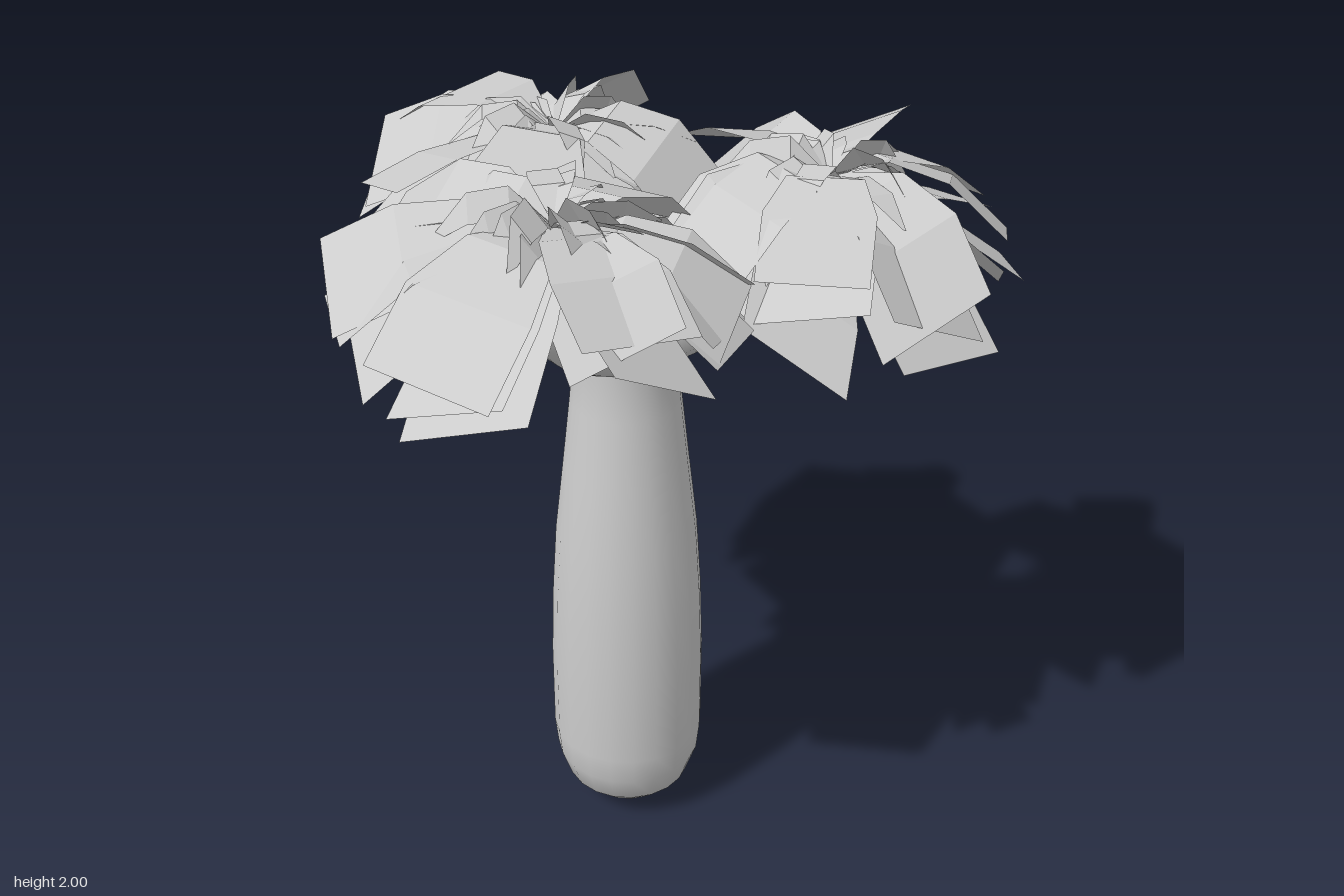
import * as THREE from 'three';

const grey = new THREE.MeshStandardMaterial({ color: 0xcccccc });
grey.name = 'plain grey';
const leafGrey = new THREE.MeshStandardMaterial({ color: 0xcccccc, side: THREE.DoubleSide, flatShading: true });
leafGrey.name = 'leaf grey';

// Small seeded generator, returns -1..1
let seed = 11;
function jitter() {
  seed = (seed * 16807) % 2147483647;
  return (seed / 2147483647) * 2 - 1;
}

const TRUNK_X = -0.05, TRUNK_Z = 0.04;

// Leaf hub of each crown, the branch tip below it,
// and its fronds as [degrees from +x towards +z, length, droop]
const crowns = [
  { name: 'left', hub: [0.39, 1.82, 0.22], tip: [0.38, 1.74, 0.21],
    fronds: [[-49, 0.46, 0.07], [-6, 0.36, 0.1], [30, 0.43, 0.15], [80, 0.41, 0.18], [122, 0.41, 0.13], [167, 0.42, 0.1], [-102, 0.45, 0.08]] },
  { name: 'right', hub: [-0.33, 1.86, 0.32], tip: [-0.38, 1.71, 0.27],
    fronds: [[-133, 0.47, 0.1], [-173, 0.47, 0.12], [141, 0.45, 0.14], [83, 0.42, 0.1], [45, 0.4, 0.16], [7, 0.39, 0.16], [-40, 0.4, 0.14], [-88, 0.42, 0.12]] },
  { name: 'back', hub: [-0.11, 1.83, -0.27], tip: [-0.11, 1.71, -0.31],
    fronds: [[-49, 0.46, 0.13], [-115, 0.46, 0.12], [-147, 0.46, 0.1], [169, 0.47, 0.1], [125, 0.42, 0.14], [85, 0.42, 0.14], [45, 0.4, 0.13], [0, 0.34, 0.1]] },
];

// Round-bottomed trunk that narrows to a neck and swells into the fork
function buildTrunk() {
  const profile = [
    [0, 0], [0.06, 0.008], [0.12, 0.04], [0.17, 0.09], [0.197, 0.17], [0.205, 0.25],
    [0.205, 0.5], [0.198, 0.7], [0.185, 0.9], [0.162, 1.1], [0.142, 1.28],
    [0.131, 1.39], [0.142, 1.46], [0.135, 1.54], [0.09, 1.6], [0, 1.62],
  ].map(([r, y]) => new THREE.Vector2(r, y));
  const trunk = new THREE.Mesh(new THREE.LatheGeometry(profile, 20), grey);
  trunk.position.set(TRUNK_X, 0, TRUNK_Z);
  trunk.name = 'trunk';
  return trunk;
}

// Branch: a tube whose rings shrink towards the tip
function buildBranch({ name, tip: [x, y, z] }) {
  const at = (t, h) => new THREE.Vector3(
    TRUNK_X + (x - TRUNK_X) * t, 1.48 + (y - 1.48) * h, TRUNK_Z + (z - TRUNK_Z) * t);
  const curve = new THREE.CatmullRomCurve3([at(0, 0), at(0.25, 0.14), at(0.5, 0.32), at(0.78, 0.62), at(1, 1)]);
  const rings = 14, sides = 14;
  const geo = new THREE.TubeGeometry(curve, rings, 1, sides);
  const pos = geo.attributes.position, p = new THREE.Vector3();
  for (let i = 0; i <= rings; i++) {
    const t = i / rings, centre = curve.getPointAt(t);
    const radius = 0.015 + 0.105 * (1 - t ** 2);
    for (let j = 0; j <= sides; j++) {
      const k = i * (sides + 1) + j;
      p.fromBufferAttribute(pos, k).sub(centre).multiplyScalar(radius).add(centre);
      pos.setXYZ(k, p.x, p.y, p.z);
    }
  }
  geo.computeVertexNormals();
  const branch = new THREE.Mesh(geo, grey);
  branch.name = name + 'Branch';
  return branch;
}

// Leaf: a strip along +x, arched and twisted; widths lists the half width at each step
function buildLeaf(length, widths, lift, droop, roll) {
  const steps = widths.length - 1, verts = [], index = [];
  widths.forEach((half, i) => {
    const t = i / steps;
    const y = lift * Math.sin(t * Math.PI) - droop * t * t;
    for (const s of [-1, 1]) {
      verts.push(length * t, y + s * half * Math.sin(roll), s * half * Math.cos(roll));
    }
    if (i < steps) {
      const k = i * 2;
      index.push(k, k + 1, k + 3, k, k + 3, k + 2);
    }
  });
  const geo = new THREE.BufferGeometry();
  geo.setAttribute('position', new THREE.Float32BufferAttribute(verts, 3));
  geo.setIndex(index);
  geo.computeVertexNormals();
  const leaf = new THREE.Mesh(geo, leafGrey);
  leaf.name = 'leaf';
  return leaf;
}

// Crown: fronds of three stacked broad leaves, and a ring of pointed inner leaves
function buildCrown({ name, hub, fronds }) {
  const crown = new THREE.Group();
  crown.name = name + 'Crown';
  crown.position.set(...hub);
  const stack = 3;
  for (const [degrees, length, droop] of fronds) {
    for (let k = 0; k < stack; k++) {
      const half = 0.14 + 0.015 * jitter();
      const leaf = buildLeaf(length + 0.03 * jitter(), [0.015, half * 0.7, half, half],
        0.04 + 0.04 * jitter(), droop + 0.04 * jitter(), 0.12 + 0.45 * jitter());
      leaf.rotation.y = -THREE.MathUtils.degToRad(degrees + 7 * jitter());
      leaf.position.y = 0.05 - 0.05 * k;
      crown.add(leaf);
    }
  }
  const inner = 18;
  for (let i = 0; i < inner; i++) {
    const leaf = buildLeaf(0.23 + 0.07 * jitter(), [0.01, 0.04, 0.035, 0.003],
      0.06 + 0.03 * jitter(), 0.02, 0.5 + 0.6 * jitter());
    leaf.rotation.y = ((i + 0.3 * jitter()) / inner) * Math.PI * 2;
    leaf.position.y = 0.04;
    crown.add(leaf);
  }
  return crown;
}

export function createModel() {
  seed = 11;
  const model = new THREE.Group();
  model.name = 'tree';
  model.add(buildTrunk());
  for (const c of crowns) model.add(buildBranch(c), buildCrown(c));
  return model;
}
